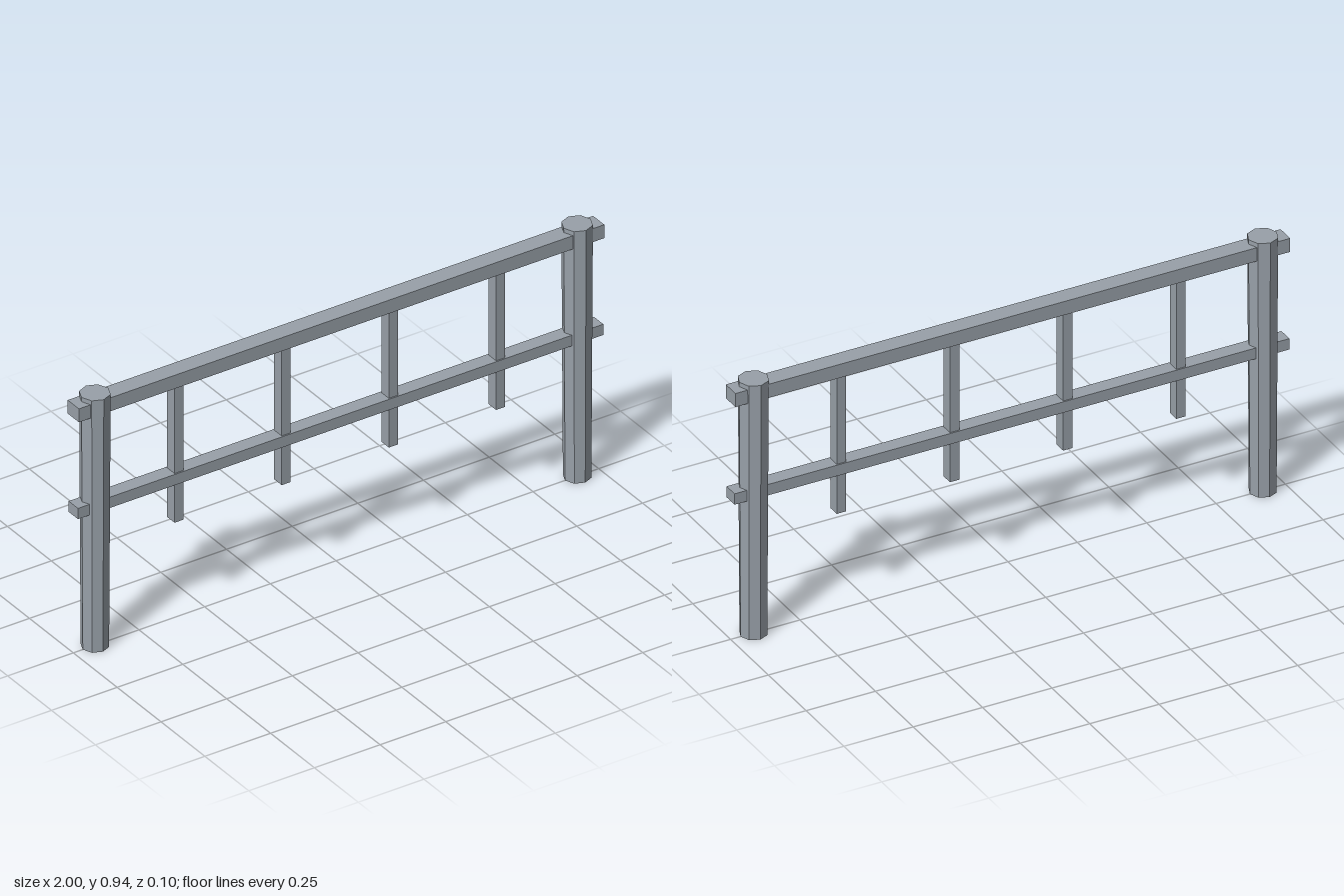
import * as THREE from 'three';

export function createModel() {
  const group = new THREE.Group();
  group.name = 'fence';
  const material = new THREE.MeshStandardMaterial({ color: 0x98a0a8, flatShading: true });

  const add = (name, geometry, x, y) => {
    const mesh = new THREE.Mesh(geometry, material);
    mesh.name = name;
    mesh.position.set(x, y, 0);
    group.add(mesh);
  };

  // Octagonal end posts, slightly wider at the top
  const postHeight = 0.94;
  const post = new THREE.CylinderGeometry(0.051, 0.046, postHeight, 8);
  add('leftPost', post, 0.918, postHeight / 2);
  add('rightPost', post, -0.918, postHeight / 2);

  // Horizontal rails running through both posts
  add('topRail', new THREE.BoxGeometry(2, 0.05, 0.064), 0, 0.899);
  add('lowerRail', new THREE.BoxGeometry(2, 0.04, 0.053), 0, 0.531);

  // Slim balusters hanging from the top rail, through the lower one
  const bottom = 0.368, top = 0.88;
  const baluster = new THREE.BoxGeometry(0.034, top - bottom, 0.043);
  for (let i = 0; i < 4; i++) {
    add(`baluster${i + 1}`, baluster, (i - 1.5) * 0.408, (top + bottom) / 2);
  }

  return group;
}
